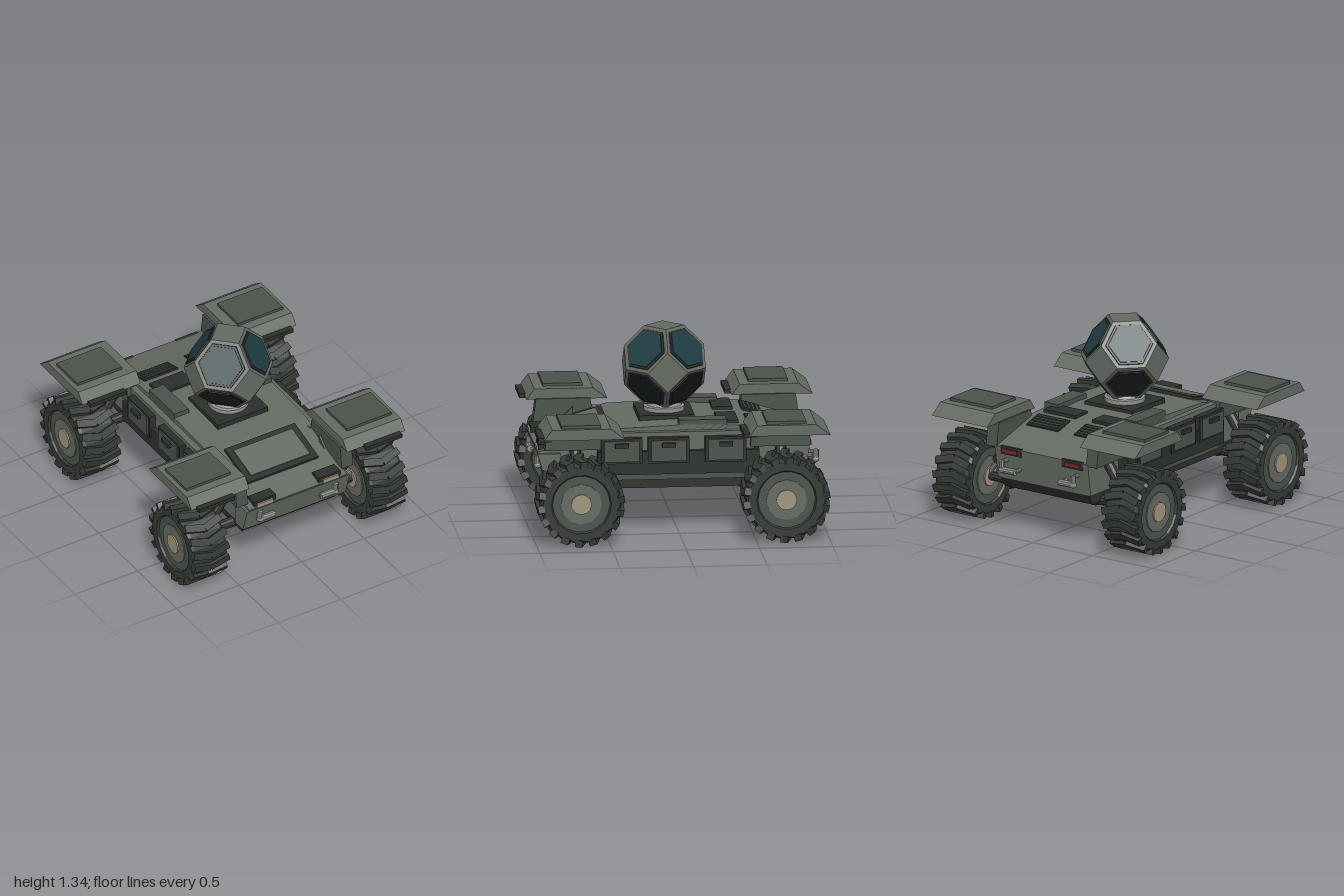
import * as THREE from 'three';
import { mergeGeometries } from 'three/addons/utils/BufferGeometryUtils.js';
import { ConvexGeometry } from 'three/addons/geometries/ConvexGeometry.js';

const mat = (color) => new THREE.MeshStandardMaterial({ color, flatShading: true });
const V = (x, y, z) => new THREE.Vector3(x, y, z);

export function createModel() {
  const root = new THREE.Group();
  root.name = 'rover';
  const body = mat(0x636a61), panel = mat(0x4a524a), dark = mat(0x2b302c), tyreMat = mat(0x343a36);
  const glass = mat(0x1d3c41), darkGlass = mat(0x1a1f1f), metal = mat(0x8f948e);
  const beige = mat(0xa0957c), red = mat(0x7a2622);

  const add = (name, geo, material, parent = root) => {
    const m = new THREE.Mesh(geo, material);
    m.name = name;
    parent.add(m);
    return m;
  };
  const group = (name, parent = root) => {
    const g = new THREE.Group();
    g.name = name;
    parent.add(g);
    return g;
  };
  // Box given by its limits on each axis
  const box = (name, [x0, x1], [y0, y1], [z0, z1], material, parent) => {
    const m = add(name, new THREE.BoxGeometry(Math.abs(x1 - x0), y1 - y0, Math.abs(z1 - z0)), material, parent);
    m.position.set((x0 + x1) / 2, (y0 + y1) / 2, (z0 + z1) / 2);
    return m;
  };
  // Side profile of [z, y] points extruded along x
  const prism = (name, pts, x0, x1, material, parent) => {
    const shape = new THREE.Shape(pts.map(([z, y]) => new THREE.Vector2(z, y)));
    const geo = new THREE.ExtrudeGeometry(shape, { depth: x1 - x0, bevelEnabled: false });
    geo.rotateY(-Math.PI / 2).translate(x1, 0, 0);
    return add(name, geo, material, parent);
  };
  // Round bar between two points
  const rod = (name, a, b, ra, rb, material, parent) => {
    const d = b.clone().sub(a);
    const m = add(name, new THREE.CylinderGeometry(rb, ra, d.length(), 10), material, parent);
    m.position.copy(a).add(b).multiplyScalar(0.5);
    m.quaternion.setFromUnitVectors(V(0, 1, 0), d.normalize());
    return m;
  };

  // Hull and belly
  prism('hull', [[0.955, 0.565], [0.9, 0.37], [-0.87, 0.37], [-0.905, 0.6], [-0.48, 0.72],
    [-0.1, 0.735], [0.42, 0.715]], -0.39, 0.39, body);
  prism('nosePlate', [[0.957, 0.555], [0.905, 0.375], [0.8, 0.375], [0.8, 0.555]], -0.41, 0.41, body);
  prism('belly', [[0.89, 0.375], [0.82, 0.295], [-0.82, 0.295], [-0.87, 0.375]], -0.37, 0.37, dark);

  // Hatch on the sloping hood
  const hood = group('hoodHatch');
  hood.position.set(0, 0.665, 0.607);
  hood.rotation.x = 0.273;
  box('hatchFrame', [-0.28, 0.28], [-0.02, 0.018], [-0.16, 0.16], dark, hood);
  box('hatchPanel', [-0.235, 0.235], [0, 0.026], [-0.12, 0.12], body, hood);

  for (const s of [-1, 1]) {
    const side = group(s > 0 ? 'leftSide' : 'rightSide');
    const X = (a, b) => [s * a, s * b];

    // Sponson, rail and storage lockers
    box('sponson', X(0.36, 0.47), [0.41, 0.57], [-0.55, 0.55], dark, side);
    box('upperSide', X(0.36, 0.435), [0.56, 0.695], [-0.52, 0.52], body, side);
    box('sideRail', X(0.36, 0.43), [0.365, 0.41], [-0.55, 0.55], panel, side);
    for (const z of [0.39, 0.07, -0.32]) {
      box('lockerFrame', X(0.4, 0.484), [0.49, 0.665], [z - 0.14, z + 0.14], dark, side);
      box('lockerDoor', X(0.42, 0.495), [0.505, 0.65], [z - 0.12, z + 0.12], panel, side);
      box('lockerHandle', X(0.48, 0.52), [0.605, 0.635], [z - 0.046, z + 0.046], dark, side);
    }

    // Deck fittings: long lid, pad and slatted vent
    box('deckLid', X(0.275, 0.39), [0.7, 0.765], [-0.335, -0.01], panel, side);
    box('deckPad', X(0.07, 0.335), [0.7, 0.745], [-0.42, -0.28], dark, side);
    const vent = group('vent', side);
    vent.position.set(s * 0.2, 0.7, -0.55);
    vent.rotation.x = -0.275;
    box('ventBase', [-0.133, 0.133], [-0.02, 0.012], [-0.072, 0.072], dark, vent);
    for (let i = 0; i < 4; i++) {
      const z = -0.045 + i * 0.03;
      box('ventSlat', [-0.115, 0.115], [0, 0.02], [z - 0.008, z + 0.008], panel, vent);
    }
    prism('hoodGusset', [[0.64, 0.64], [0.74, 0.61], [0.64, 0.7]], s * 0.372 - 0.012, s * 0.372 + 0.012, panel, side);

    // Lamps and tow hooks, front and rear
    for (const f of [1, -1]) {
      const lampZ = f > 0 ? 0.945 : -0.905;
      box('lampHousing', X(0.17, 0.345), [0.55, 0.607], [lampZ - f * 0.085, lampZ], dark, side);
      box('lamp', X(0.2, 0.325), [0.563, 0.59], [lampZ - f * 0.03, lampZ + f * 0.012], f > 0 ? beige : red, side);
      const hz = f > 0 ? 0.948 : -0.95;
      const corner = V(s * 0.3, 0.455, hz);
      rod('towHookPost', V(s * 0.3, 0.52, hz), corner, 0.021, 0.021, metal, side);
      rod('towHookBar', corner, V(s * 0.185, 0.455, hz), 0.023, 0.023, metal, side);
      const ball = add('towHookElbow', new THREE.IcosahedronGeometry(0.025, 1), metal, side);
      ball.position.copy(corner);
      for (const p of [V(s * 0.3, 0.51, hz), V(s * 0.195, 0.455, hz)])
        rod('towHookMount', p, p.clone().setZ(hz - f * 0.07), 0.014, 0.014, metal, side);
    }

    for (const f of [1, -1]) {
      const c = f * 0.7;
      const corner = group(f > 0 ? 'frontCorner' : 'rearCorner', side);

      // Mudguard with raised plate, dark front lip and inner skirt
      const x0 = Math.min(s * 0.39, s * 0.853), x1 = Math.max(s * 0.39, s * 0.853);
      prism('fender', [[c + 0.255, 0.748], [c + 0.2, 0.822], [c - 0.2, 0.822], [c - 0.297, 0.748]], x0, x1, body, corner);
      box('fenderPlate', X(0.465, 0.82), [0.81, 0.842], [c - 0.135, c + 0.135], panel, corner);
      box('fenderLip', X(0.525, 0.81), [0.73, 0.758], [c + 0.2, c + 0.29], dark, corner);
      const k0 = Math.min(s * 0.375, s * 0.465), k1 = Math.max(s * 0.375, s * 0.465);
      prism('fenderSkirt', [[c + 0.19, 0.755], [c + 0.213, 0.588], [c - 0.205, 0.588], [c - 0.18, 0.755]], k0, k1, panel, corner);

      // Axle arm and shock absorber
      const joint = add('axleJoint', new THREE.IcosahedronGeometry(0.052, 1), dark, corner);
      joint.position.set(s * 0.305, 0.3, c);
      rod('axleArm', V(s * 0.3, 0.3, c), V(s * 0.6, 0.3, c), 0.04, 0.03, tyreMat, corner);
      rod('shockRod', V(s * 0.585, 0.32, c), V(s * 0.48, 0.47, c), 0.018, 0.018, metal, corner);
      rod('shockBody', V(s * 0.52, 0.415, c), V(s * 0.39, 0.6, c), 0.038, 0.038, tyreMat, corner);

      const wheel = buildWheel();
      wheel.position.set(s * 0.71, 0.298, c);
      corner.add(wheel);
    }
  }

  // Wheel about the x axis: lathed tyre, chevron lugs, stepped rim and hub
  function buildWheel() {
    const wheel = new THREE.Group();
    wheel.name = 'wheel';
    const profile = [[0.19, -0.11], [0.205, -0.135], [0.262, -0.135], [0.274, -0.115],
      [0.274, 0.115], [0.262, 0.135], [0.205, 0.135], [0.19, 0.11]];
    const tyre = new THREE.LatheGeometry(profile.map(([r, h]) => new THREE.Vector2(r, h)), 18);
    add('tyre', tyre.rotateZ(-Math.PI / 2), tyreMat, wheel);
    const lugs = [];
    for (let i = 0; i < 18; i++) {
      for (const d of [-1, 1]) {
        const lug = new THREE.BoxGeometry(0.145, 0.045, 0.052);
        lug.rotateY(d * 0.27).translate(d * 0.069, 0.273, 0).rotateX((i / 18) * Math.PI * 2);
        lugs.push(lug);
      }
    }
    add('treadLugs', mergeGeometries(lugs), tyreMat, wheel);
    for (const [name, r, w, m, n] of [['rim', 0.2, 0.24, panel, 12], ['rimCentre', 0.14, 0.255, body, 12], ['hub', 0.07, 0.275, beige, 12]])
      add(name, new THREE.CylinderGeometry(r, r, w, n).rotateZ(Math.PI / 2), m, wheel);
    return wheel;
  }

  // Turret: base plate, collar and truncated-octahedron cabin
  box('turretBase', [-0.2, 0.2], [0.7, 0.757], [-0.135, 0.245], dark);
  const collar = [[0, 0.75], [0.14, 0.75], [0.14, 0.785], [0.12, 0.79], [0.1, 0.83], [0, 0.83]];
  add('turretCollar', new THREE.LatheGeometry(collar.map(([r, y]) => new THREE.Vector2(r, y)), 20), metal)
    .position.z = 0.055;

  const turret = group('turret');
  turret.position.set(0, 1.067, 0.055);
  const a = 0.136, shellPoints = [];
  for (const sx of [-1, 1]) for (const sy of [-1, 1]) for (const sz of [-1, 1]) {
    const hex = [[0, 1, 2], [0, 2, 1], [1, 0, 2], [1, 2, 0], [2, 0, 1], [2, 1, 0]]
      .map(([x, y, z]) => V(sx * x, sy * y, sz * z).multiplyScalar(a));
    shellPoints.push(...hex);
    // Framed window on each six-sided face
    const centre = V(sx, sy, sz).multiplyScalar(a);
    const normal = centre.clone().normalize();
    const layer = (k, h) => hex.map((p) => centre.clone().lerp(p, k).addScaledVector(normal, h));
    add('windowFrame', new ConvexGeometry([...layer(0.88, -0.01), ...layer(0.84, 0.006)]), dark, turret);
    add('window', new ConvexGeometry([...layer(0.77, -0.01), ...layer(0.75, 0.011)]), sy > 0 ? glass : darkGlass, turret);
  }
  add('turretShell', new ConvexGeometry(shellPoints), body, turret);

  return root;
}
